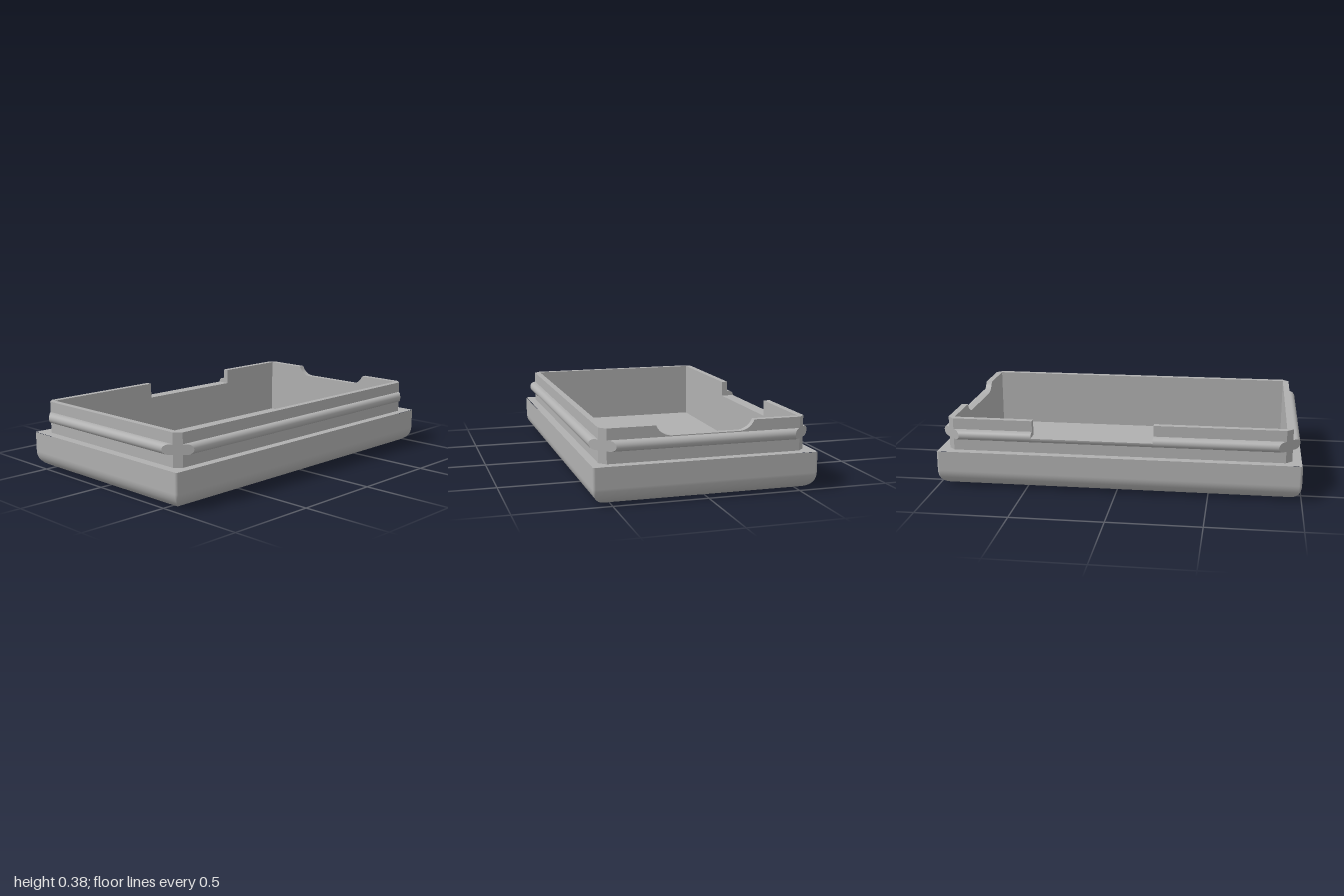
import * as THREE from 'three';
import { toCreasedNormals } from 'three/addons/utils/BufferGeometryUtils.js';

const BASE_X = 1, BASE_Z = 0.6, BASE_TOP = 0.2, ROUND = 0.09;  // tray body
const WALL_X = 0.945, WALL_Z = 0.55, THICK = 0.035, TOP = 0.38; // upstanding lip
const BEAD_Y = 0.2925, BEAD_R = 0.0275, BEAD_OUT = 0.04;        // snap bead
const CORNER = 1.46;                                            // |x| + |z| at the cut corners
const FLOOR = 0.05;

const rect = (Type, x, z) => new Type([[-x, -z], [x, -z], [x, z], [-x, z]].map(p => new THREE.Vector2(...p)));

// Creasing works on a coarse grid, so enlarge first
function crease(geo) {
  geo.scale(100, 100, 100);
  const out = toCreasedNormals(geo, 0.6);
  return out.scale(0.01, 0.01, 0.01);
}

// Side skin of the tray: rounded rectangle rings rolling under to the bottom
function trayShell() {
  const profile = [[0, BASE_TOP, 0]];
  for (let i = 0; i <= 10; i++) {
    const a = i / 10 * Math.PI / 2;
    profile.push([ROUND * (1 - Math.cos(a)), ROUND * (1 - Math.sin(a)), a]);
  }
  const pos = [], nor = [], idx = [], steps = 6, n = 4 * (steps + 1);
  for (const [inset, y, a] of profile) {
    const r = Math.max(0.015 - inset, 0.0005);
    for (let k = 0; k < 4; k++) {
      const sx = k === 0 || k === 3 ? 1 : -1, sz = k < 2 ? 1 : -1;
      for (let j = 0; j <= steps; j++) {
        const t = (k + j / steps) * Math.PI / 2, c = Math.cos(t), s = Math.sin(t);
        pos.push(sx * (BASE_X - inset - r) + r * c, y, sz * (BASE_Z - inset - r) + r * s);
        nor.push(c * Math.cos(a), -Math.sin(a), s * Math.cos(a));
      }
    }
  }
  for (let i = 0; i < profile.length - 1; i++) {
    for (let j = 0; j < n; j++) {
      const a = i * n + j, b = i * n + (j + 1) % n;
      idx.push(a, b, a + n, b, b + n, a + n);
    }
  }
  const geo = new THREE.BufferGeometry();
  geo.setAttribute('position', new THREE.Float32BufferAttribute(pos, 3));
  geo.setAttribute('normal', new THREE.Float32BufferAttribute(nor, 3));
  geo.setIndex(idx);
  return geo;
}

// Wall run along local x, facing local +z; null ends are cut at the corner plane
function rail(dist, top, start = null, end = null) {
  const pts = [[-THICK, BASE_TOP], [0, BASE_TOP], [0, BEAD_Y - BEAD_R]];
  const low = top <= BEAD_Y, steps = low ? 6 : 12;
  for (let i = 0; i <= steps; i++) {
    const a = -Math.PI / 2 + i / 12 * Math.PI;
    pts.push([BEAD_OUT - BEAD_R + BEAD_R * Math.cos(a), BEAD_Y + BEAD_R * Math.sin(a)]);
  }
  if (!low) pts.push([0, BEAD_Y + BEAD_R], [0, top]);
  pts.push([-THICK, top]);
  const shape = new THREE.Shape(pts.map(([d, y]) => new THREE.Vector2(dist + d, y)));
  const geo = new THREE.ExtrudeGeometry(shape, { depth: 1, bevelEnabled: false });
  geo.rotateY(-Math.PI / 2);
  const p = geo.attributes.position;
  for (let i = 0; i < p.count; i++) {
    const cut = CORNER - p.getZ(i);
    p.setX(i, p.getX(i) < -0.5 ? start ?? -cut : end ?? cut);
  }
  return crease(geo);
}

// Upper wall piece beside the curved finger notch
function notchHorn(dist, side) {
  const y0 = 0.325, inner = 0.18, outer = 0.262, h = TOP - y0, w = outer - inner;
  const r = (w * w + h * h) / (2 * h), sweep = Math.asin(w / r);
  const pts = [[1, y0], [1, TOP]];
  for (let i = 10; i >= 0; i--) {
    const a = sweep * i / 10;
    pts.push([inner + r * Math.sin(a), y0 + r * (1 - Math.cos(a))]);
  }
  const shape = new THREE.Shape(pts.map(([s, y]) => new THREE.Vector2(side * s, y)));
  const geo = new THREE.ExtrudeGeometry(shape, { depth: THICK, bevelEnabled: false });
  geo.translate(0, 0, dist - THICK);
  const p = geo.attributes.position;
  for (let i = 0; i < p.count; i++) {
    if (Math.abs(p.getX(i)) > 0.9) p.setX(i, side * (CORNER - p.getZ(i)));
  }
  return crease(geo);
}

export function createModel() {
  const model = new THREE.Group();
  model.name = 'caseShell';
  const grey = new THREE.MeshStandardMaterial({ color: 0xb0b0b0 });
  grey.name = 'grey plastic';
  const add = (name, geo, parent = model) => {
    const mesh = new THREE.Mesh(geo, grey);
    mesh.name = name;
    parent.add(mesh);
    return mesh;
  };
  const inX = WALL_X - THICK, inZ = WALL_Z - THICK;

  // Tray body
  add('trayShell', trayShell());
  add('trayBottom', new THREE.ShapeGeometry(rect(THREE.Shape, BASE_X - ROUND, BASE_Z - ROUND)).rotateX(Math.PI / 2));
  const ledge = rect(THREE.Shape, BASE_X - 0.004, BASE_Z - 0.004);
  ledge.holes.push(rect(THREE.Path, inX, inZ));
  add('trayLedge', new THREE.ShapeGeometry(ledge).rotateX(-Math.PI / 2)).position.y = BASE_TOP;

  // Cavity lining and floor
  const lining = rect(THREE.Shape, inX + 0.02, inZ + 0.02);
  lining.holes.push(rect(THREE.Path, inX, inZ));
  const liningGeo = new THREE.ExtrudeGeometry(lining, { depth: BASE_TOP - FLOOR, bevelEnabled: false });
  add('cavityLining', liningGeo.rotateX(-Math.PI / 2)).position.y = FLOOR;
  add('cavityFloor', new THREE.BoxGeometry(2 * inX + 0.02, 0.02, 2 * inZ + 0.02)).position.y = FLOOR - 0.01;

  // Four lip walls with their beads
  const wall = (name, angle, parts) => {
    const group = new THREE.Group();
    group.name = name;
    group.rotation.y = angle;
    parts.forEach((geo, i) => add(name + 'Part' + (i + 1), geo, group));
    model.add(group);
  };
  wall('frontWall', 0, [rail(WALL_Z, TOP)]);
  wall('rightWall', -Math.PI / 2, [rail(WALL_X, TOP)]);
  wall('leftWall', Math.PI / 2, [rail(WALL_X, 0.325), notchHorn(WALL_X, 1), notchHorn(WALL_X, -1)]);
  // The back wall drops to half the bead along its connector gap
  wall('backWall', Math.PI, [
    rail(WALL_Z, TOP, null, -0.467),
    rail(WALL_Z, BEAD_Y, -0.467, 0.2),
    rail(WALL_Z, TOP, 0.2, null),
  ]);
  return model;
}
